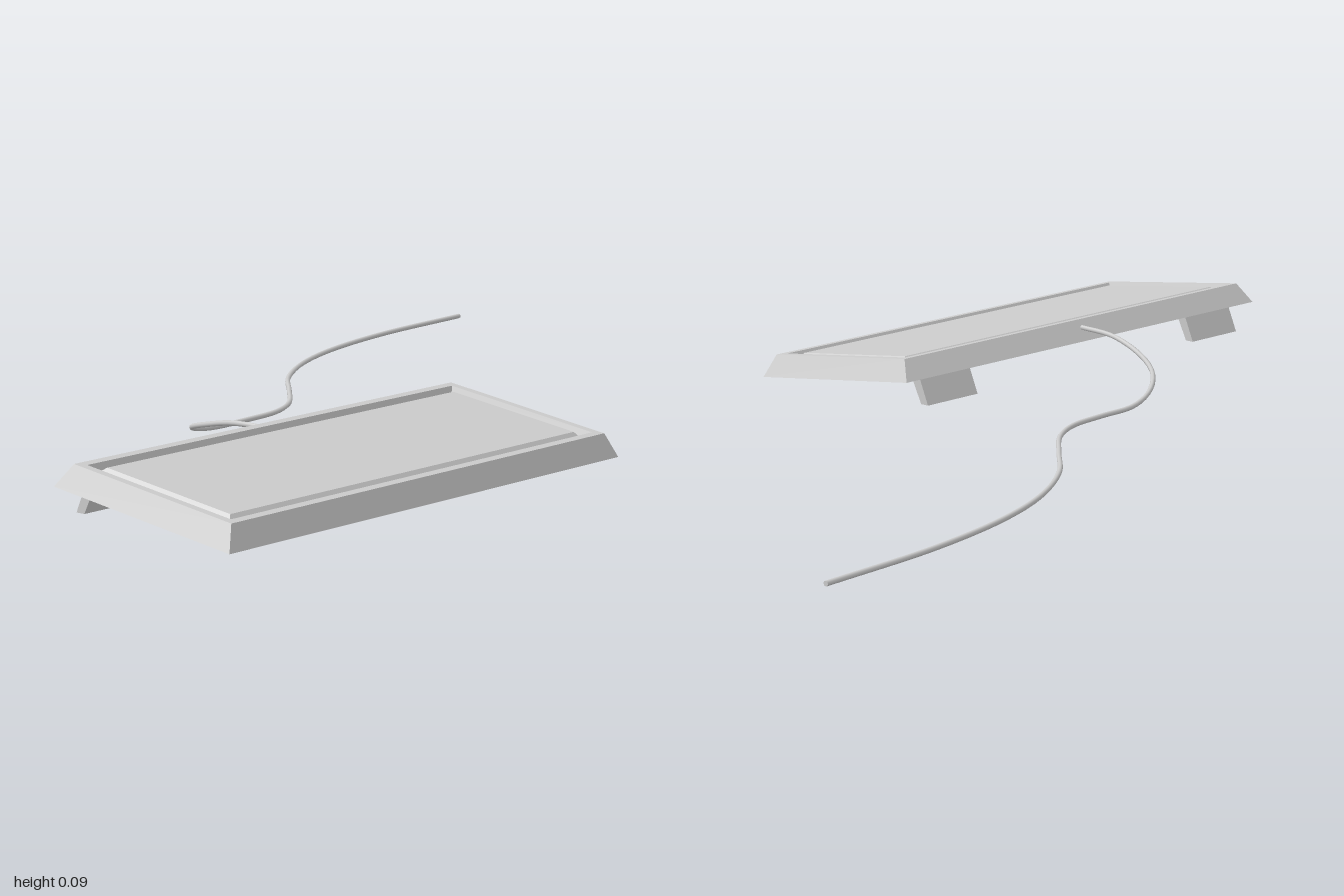
import * as THREE from 'three';

const WIDTH = 1.042, DEPTH = 0.414, MID_X = -0.479, FRONT_Z = 0.594;
const TILT = Math.atan2(0.055, 0.41);

// Stack of rectangles, each [inset, height], skinned with flat faces
function steppedBlock(rings, capBottom) {
  const corners = rings.map(([inset, y]) => {
    const x = WIDTH / 2 - inset, z = DEPTH / 2 - inset;
    return [[-x, y, z], [x, y, z], [x, y, -z], [-x, y, -z]];
  });
  const pos = [];
  const quad = (a, b, c, d) => pos.push(...a, ...b, ...c, ...a, ...c, ...d);
  for (let i = 0; i < rings.length - 1; i++) {
    const lo = corners[i], hi = corners[i + 1];
    for (let k = 0; k < 4; k++) {
      const n = (k + 1) % 4;
      quad(lo[k], lo[n], hi[n], hi[k]);
    }
  }
  const top = corners[corners.length - 1], bottom = corners[0];
  quad(...top);
  if (capBottom) quad(bottom[3], bottom[2], bottom[1], bottom[0]);
  const geo = new THREE.BufferGeometry();
  geo.setAttribute('position', new THREE.Float32BufferAttribute(pos, 3));
  geo.computeVertexNormals();
  return geo;
}

export function createModel() {
  const model = new THREE.Group();
  model.name = 'keyboard';
  const flat = new THREE.MeshStandardMaterial({ color: 0xcccccc, flatShading: true });
  const smooth = new THREE.MeshStandardMaterial({ color: 0xcccccc });
  const add = (parent, name, geo, mat) => {
    const mesh = new THREE.Mesh(geo, mat);
    mesh.name = name;
    parent.add(mesh);
    return mesh;
  };

  // Tilted body, hinged on its front bottom edge
  const body = new THREE.Group();
  body.name = 'body';
  body.position.set(MID_X, 0, FRONT_Z);
  body.rotation.x = TILT;
  model.add(body);

  // Case: sloped sides, raised rim and a shallow tray
  const tray = add(body, 'case', steppedBlock(
    [[0, 0], [0.022, 0.043], [0.038, 0.043], [0.043, 0.03]], true), flat);
  // Key field: one bevelled slab standing in the tray
  const keys = add(body, 'keyField', steppedBlock(
    [[0.05, 0.029], [0.062, 0.041]], false), flat);
  tray.position.z = keys.position.z = -DEPTH / 2;

  // Two flip-out feet leaning backwards; shape drawn in (-z, y)
  const profile = new THREE.Shape([
    [-0.2, 0], [-0.181, 0], [-0.205, 0.055], [-0.226, 0.052],
  ].map(([x, y]) => new THREE.Vector2(x, y)));
  const footGeo = new THREE.ExtrudeGeometry(profile, { depth: 0.14, bevelEnabled: false });
  footGeo.translate(0, 0, -0.07);
  footGeo.rotateY(Math.PI / 2);
  for (const [name, side] of [['leftFoot', 1], ['rightFoot', -1]]) {
    add(model, name, footGeo, flat).position.x = MID_X + side * 0.395;
  }

  // Cable: leaves the back edge, drops to the ground and trails to the left
  const path = new THREE.CatmullRomCurve3([
    [-0.48, 0.08, 0.2], [-0.474, 0.077, 0.11], [-0.45, 0.058, 0.015],
    [-0.41, 0.039, -0.055], [-0.35, 0.02, -0.102], [-0.27, 0.007, -0.13],
    [-0.17, 0.006, -0.137], [-0.08, 0.006, -0.148], [0, 0.006, -0.187],
    [0.1, 0.006, -0.276], [0.2, 0.006, -0.37], [0.34, 0.006, -0.458],
    [0.5, 0.006, -0.52], [0.72, 0.006, -0.566], [1, 0.006, -0.589],
  ].map((p) => new THREE.Vector3(...p)));
  add(model, 'cable', new THREE.TubeGeometry(path, 90, 0.005, 8), smooth);
  const tip = add(model, 'cableEnd', new THREE.CircleGeometry(0.005, 8), smooth);
  tip.position.copy(path.getPoint(1));
  tip.lookAt(tip.position.clone().add(path.getTangent(1)));

  return model;
}
